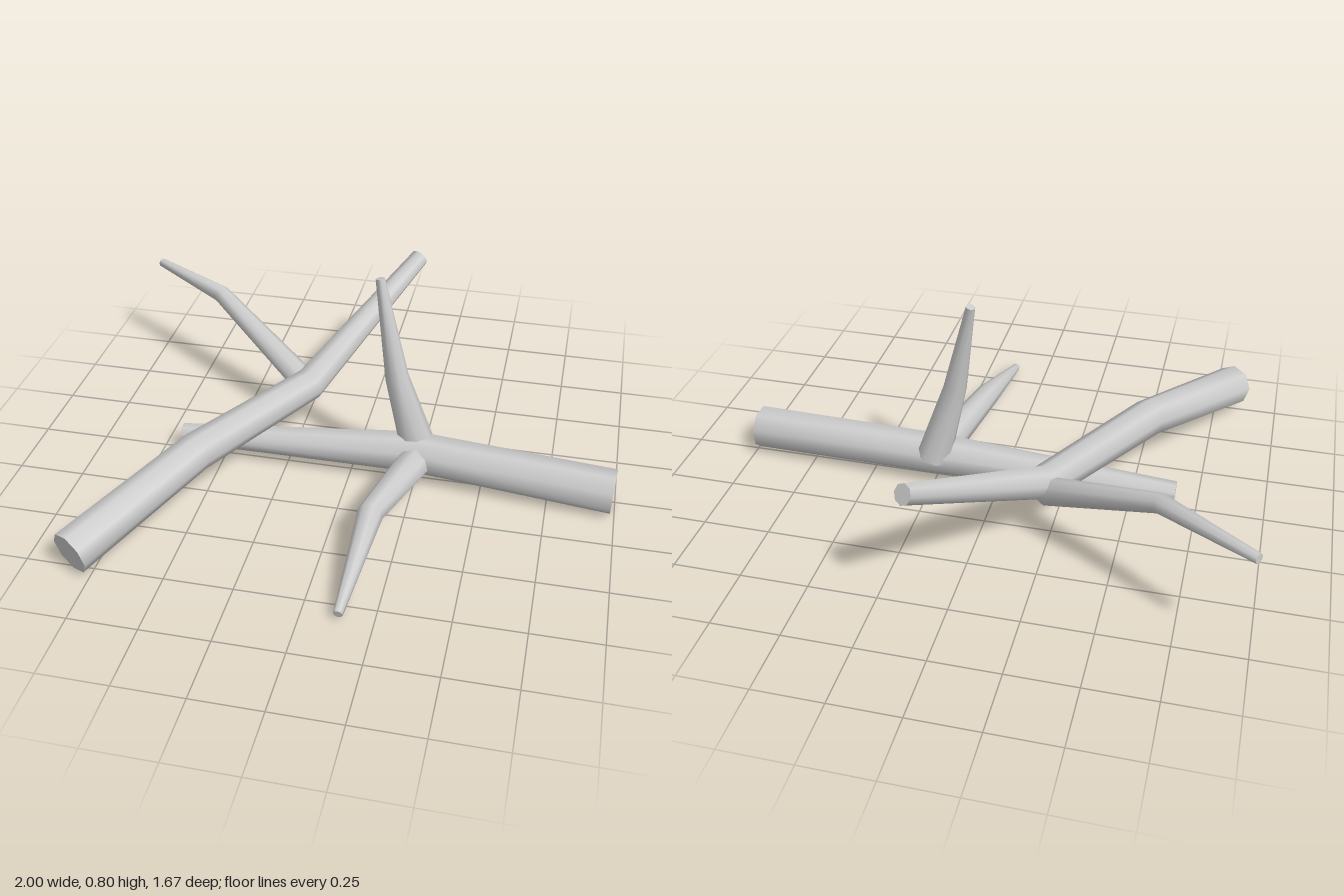
import * as THREE from 'three';

const SIDES = 8;
const UP = new THREE.Vector3(0, 1, 0);

// A tapering, bent branch: rings of [x, y, z, radius], closed at both ends.
function branch(name, rings, material) {
  const last = rings.length - 1;
  const points = rings.map(([x, y, z]) => new THREE.Vector3(x, y, z));
  const turns = points.map((p, i) => {
    const dir = new THREE.Vector3();
    if (i > 0) dir.add(p.clone().sub(points[i - 1]).normalize());
    if (i < last) dir.add(points[i + 1].clone().sub(p).normalize());
    return new THREE.Quaternion().setFromUnitVectors(UP, dir.normalize());
  });

  // Carry each ring of a unit cylinder onto its place along the branch
  const geometry = new THREE.CylinderGeometry(1, 1, 1, SIDES, last);
  const pos = geometry.attributes.position;
  const v = new THREE.Vector3();
  for (let i = 0; i < pos.count; i++) {
    v.fromBufferAttribute(pos, i);
    const k = Math.round((v.y + 0.5) * last);
    v.setY(0).applyAxisAngle(UP, Math.PI / SIDES);
    v.multiplyScalar(rings[k][3]).applyQuaternion(turns[k]).add(points[k]);
    pos.setXYZ(i, v.x, v.y, v.z);
  }
  geometry.computeVertexNormals();

  // Smooth the shading over the lengthwise seam
  const normal = geometry.attributes.normal;
  const w = new THREE.Vector3();
  for (let r = 0; r <= last; r++) {
    const a = r * (SIDES + 1), b = a + SIDES;
    v.fromBufferAttribute(normal, a).add(w.fromBufferAttribute(normal, b)).normalize();
    normal.setXYZ(a, v.x, v.y, v.z);
    normal.setXYZ(b, v.x, v.y, v.z);
  }
  const mesh = new THREE.Mesh(geometry, material);
  mesh.name = name;
  return mesh;
}

export function createModel() {
  const model = new THREE.Group();
  model.name = 'fallenBranches';
  const wood = new THREE.MeshStandardMaterial({ color: 0xcccccc });

  const parts = {
    // Branch lying on the ground with two side shoots
    lowerBranch: [[0.99, 0.085, 0.04, 0.084], [0.24, 0.112, -0.014, 0.079], [-0.67, 0.076, 0.003, 0.039]],
    uprightShoot: [[0.25, 0.12, -0.042, 0.068], [0.165, 0.43, -0.028, 0.044], [0.087, 0.8, -0.083, 0.017]],
    forwardShoot: [[0.255, 0.095, 0.0, 0.066], [0.155, 0.133, 0.41, 0.047], [0.13, 0.032, 0.82, 0.017]],
    // Branch resting across it with one twig
    upperBranch: [[-0.815, 0.097, 0.79, 0.082], [-0.52, 0.207, 0.28, 0.073],
      [-0.22, 0.212, -0.24, 0.065], [0.115, 0.515, -0.82, 0.037]],
    backTwig: [[-0.23, 0.19, -0.26, 0.053], [-0.66, 0.408, -0.53, 0.035], [-0.99, 0.41, -0.742, 0.018]],
  };
  for (const [name, rings] of Object.entries(parts)) model.add(branch(name, rings, wood));
  return model;
}
